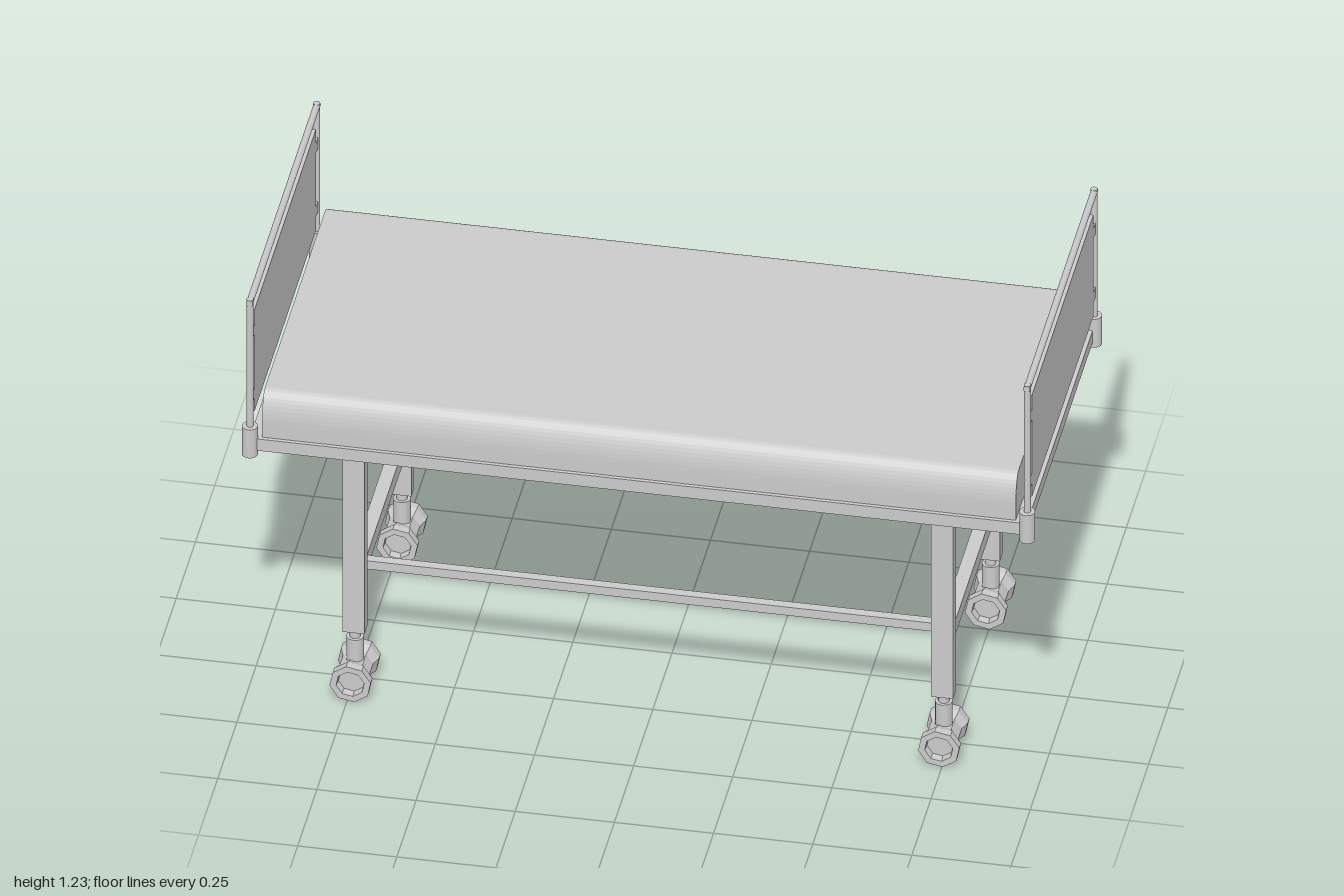
import * as THREE from 'three';

const grey = new THREE.MeshStandardMaterial({ color: 0xcccccc });
const facet = new THREE.MeshStandardMaterial({ color: 0xcccccc, flatShading: true });

function add(parent, name, geometry, x, y, z, material = grey) {
  const mesh = new THREE.Mesh(geometry, material);
  mesh.name = name;
  mesh.position.set(x, y, z);
  parent.add(mesh);
  return mesh;
}
const box = (w, h, d) => new THREE.BoxGeometry(w, h, d);
const rod = (r, h, sides = 12) => new THREE.CylinderGeometry(r, r, h, sides);

// Mattress cross-section in z and y, with rounded upper edges, run along x
function mattressGeometry() {
  const s = new THREE.Shape();
  s.moveTo(-0.43, 0.82);
  s.lineTo(0.43, 0.82);
  s.lineTo(0.43, 0.86);
  s.bezierCurveTo(0.43, 0.91, 0.415, 0.945, 0.39, 0.945);
  s.lineTo(-0.39, 0.945);
  s.bezierCurveTo(-0.415, 0.945, -0.43, 0.91, -0.43, 0.86);
  s.closePath();
  const g = new THREE.ExtrudeGeometry(s, { depth: 1.9, bevelEnabled: false, curveSegments: 10 });
  g.translate(0, 0, -0.95);
  g.rotateY(Math.PI / 2);
  return g;
}

// Spool-shaped wheel with recessed ends, turned about z
function wheelGeometry() {
  const half = [[0.042, 0.022], [0.053, 0.045], [0.053, 0.066], [0.036, 0.066], [0.034, 0.045], [0, 0.045]];
  const lower = half.map(([r, h]) => new THREE.Vector2(r, -h)).reverse();
  const upper = half.map(([r, h]) => new THREE.Vector2(r, h));
  const g = new THREE.LatheGeometry([...lower, ...upper], 8);
  g.rotateX(Math.PI / 2);
  g.rotateZ(Math.PI / 16);
  return g;
}

function createCaster() {
  const caster = new THREE.Group();
  caster.name = 'caster';
  add(caster, 'casterStem', rod(0.014, 0.04), 0, 0.17, 0);
  add(caster, 'casterHousing', rod(0.022, 0.075), 0, 0.12, 0);
  add(caster, 'wheel', wheelGeometry(), 0, 0.055, 0, facet);
  return caster;
}

// Head or foot board: posts in sleeves, top rail and a hung panel
function createEndBoard() {
  const board = new THREE.Group();
  board.name = 'endBoard';
  for (const side of [-1, 1]) {
    add(board, 'cornerSleeve', rod(0.02, 0.085, 16), 0, 0.812, side * 0.435);
    add(board, 'post', rod(0.009, 0.4), 0, 1.035, side * 0.434);
    for (const y of [0.93, 1.122]) {
      add(board, 'panelBracket', box(0.01, 0.03, 0.035), 0, y, side * 0.412);
    }
  }
  add(board, 'topRail', rod(0.009, 0.885), 0, 1.226, 0).rotation.x = Math.PI / 2;
  add(board, 'panel', box(0.01, 0.305, 0.8), 0, 1.0275, 0);
  return board;
}

export function createModel() {
  const bed = new THREE.Group();
  bed.name = 'wheeledBed';

  add(bed, 'mattress', mattressGeometry(), 0, 0, 0);
  add(bed, 'bedFrame', box(1.96, 0.035, 0.88), 0, 0.8025, 0);

  for (const side of [-1, 1]) {
    const board = createEndBoard();
    board.position.x = side * 0.98;
    bed.add(board);

    // Legs with casters, joined by a cross bar
    for (const z of [0.296, -0.314]) {
      add(bed, 'leg', box(0.055, 0.605, 0.038), side * 0.742, 0.4825, z);
      const caster = createCaster();
      caster.position.set(side * 0.742, 0, z - 0.003);
      bed.add(caster);
    }
    add(bed, 'crossBar', box(0.035, 0.043, 0.59), side * 0.742, 0.337, -0.009);
  }

  // Long bars between the two cross bars
  for (const z of [0.23, -0.25]) {
    add(bed, 'longBar', box(1.46, 0.025, 0.025), 0, 0.338, z);
  }
  return bed;
}
